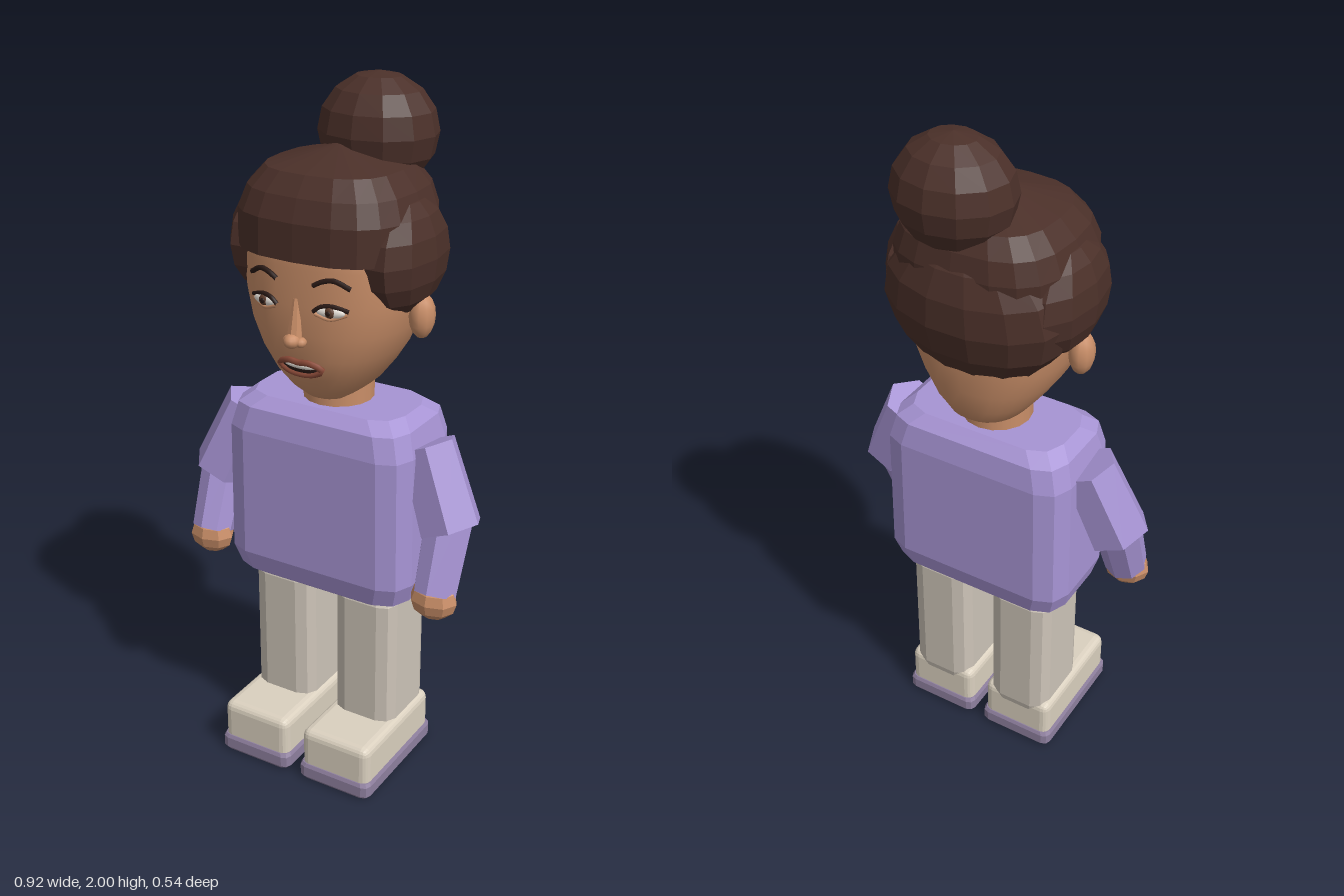
import * as THREE from 'three';
import { RoundedBoxGeometry } from 'three/addons/geometries/RoundedBoxGeometry.js';

const COLORS = {
  skin: 0xc98e68, hair: 0x4b3029, shirt: 0xa794d4, trousers: 0xcdc4b8, shoe: 0xdad0bf,
  sole: 0x8f809f, lip: 0x8a4a38, white: 0xe8e2da, dark: 0x2a1a16, iris: 0x5a3a2a,
};

function mesh(parent, name, geometry, color, flat = true) {
  const m = new THREE.Mesh(geometry, new THREE.MeshStandardMaterial({ color: COLORS[color], flatShading: flat }));
  m.name = name;
  parent.add(m);
  return m;
}

// Cross-sections: superellipse and rectangle with rounded corners
const superEllipse = (n, power) => (hx, hz) => Array.from({ length: n }, (_, i) => {
  const a = (i / n) * Math.PI * 2, c = Math.cos(a), s = Math.sin(a);
  return [hx * Math.sign(c) * Math.abs(c) ** (2 / power), hz * Math.sign(s) * Math.abs(s) ** (2 / power)];
});
const roundedRect = (r, steps) => (hx, hz) => {
  const points = [];
  [[1, 1], [-1, 1], [-1, -1], [1, -1]].forEach(([sx, sz], q) => {
    for (let i = 0; i <= steps; i++) {
      const a = (q + i / steps) * Math.PI / 2;
      points.push([sx * (hx - r) + r * Math.cos(a), sz * (hz - r) + r * Math.sin(a)]);
    }
  });
  return points;
};

// Skins rings of [y, halfWidth, halfDepth, zOffset] from bottom to top
function loft(rings, section) {
  const pos = [], index = [];
  let n = 0;
  for (const [y, hx, hz, zc = 0] of rings) {
    const pts = section(hx, hz);
    n = pts.length;
    for (const [x, z] of pts) pos.push(x, y, z + zc);
  }
  const last = rings.length - 1, bottom = n * rings.length, top = bottom + 1;
  pos.push(0, rings[0][0], rings[0][3] || 0, 0, rings[last][0], rings[last][3] || 0);
  for (let i = 0; i < n; i++) {
    const k = (i + 1) % n;
    for (let j = 0; j < last; j++) {
      const a = j * n + i, b = j * n + k;
      index.push(a, a + n, b, b, a + n, b + n);
    }
    index.push(bottom, i, k, top, last * n + k, last * n + i);
  }
  const g = new THREE.BufferGeometry();
  g.setAttribute('position', new THREE.Float32BufferAttribute(pos, 3));
  g.setIndex(index);
  g.computeVertexNormals();
  return g;
}

function ellipsoid(parent, name, color, center, radii, segments = [12, 8], flat = true) {
  const m = mesh(parent, name, new THREE.SphereGeometry(1, ...segments), color, flat);
  m.position.set(...center);
  m.scale.set(...radii);
  return m;
}

// Tapered prism between two points
function limb(parent, name, color, from, to, r0, r1, sides) {
  const a = new THREE.Vector3(...from), b = new THREE.Vector3(...to), dir = b.clone().sub(a);
  const m = mesh(parent, name, new THREE.CylinderGeometry(r1, r0, dir.length(), sides), color);
  m.position.copy(a).add(b).multiplyScalar(0.5);
  m.quaternion.setFromUnitVectors(new THREE.Vector3(0, 1, 0), dir.normalize());
  return m;
}

const HEAD = [
  [1.135, 0.03, 0.05, 0.01], [1.155, 0.07, 0.1, 0.01], [1.19, 0.11, 0.15, 0], [1.24, 0.15, 0.18, 0.005],
  [1.3, 0.19, 0.195, 0.008], [1.37, 0.22, 0.206, 0.01], [1.45, 0.238, 0.208, 0.01],
  [1.55, 0.245, 0.207, 0.01], [1.65, 0.235, 0.2, 0.01], [1.72, 0.18, 0.16, 0],
];

// Depth of the face surface at a point seen from the front
function faceZ(x, y) {
  const j = Math.max(1, HEAD.findIndex(r => r[0] >= y));
  const lo = HEAD[j - 1], hi = HEAD[j], t = (y - lo[0]) / (hi[0] - lo[0]);
  const [, hx, hz, zc] = lo.map((v, i) => v + (hi[i] - v) * t);
  return zc + hz * (1 - Math.min(1, Math.abs(x) / hx) ** 2.4) ** (1 / 2.4);
}

// Tube that follows the face through [x, y] points
function faceLine(parent, name, color, points, radius, closed = false) {
  const curve = new THREE.CatmullRomCurve3(points.map(([x, y]) => new THREE.Vector3(x, y, faceZ(x, y) + 0.004)), closed);
  return mesh(parent, name, new THREE.TubeGeometry(curve, 20, radius, 6, closed), color, false);
}

function createHead() {
  const g = new THREE.Group();
  g.name = 'head';
  mesh(g, 'face', loft(HEAD, superEllipse(32, 2.4)), 'skin', false);
  mesh(g, 'neck', new THREE.CylinderGeometry(0.1, 0.1, 0.14, 16), 'skin', false).position.y = 1.16;

  // Nose
  limb(g, 'noseBridge', 'skin', [0, 1.36, 0.222], [0, 1.47, 0.21], 0.022, 0.01, 8);
  ellipsoid(g, 'noseTip', 'skin', [0, 1.36, 0.235], [0.022, 0.02, 0.026], [12, 8], false);

  for (const s of [1, -1]) {
    ellipsoid(g, 'ear', 'skin', [s * 0.255, 1.405, 0], [0.034, 0.062, 0.042], [10, 8], false);
    ellipsoid(g, 'nostril', 'skin', [s * 0.02, 1.355, 0.222], [0.014, 0.014, 0.018], [10, 6], false);
    // Eye with lids and brow
    const z = faceZ(0.1, 1.447);
    const eye = ellipsoid(g, 'eyeWhite', 'white', [s * 0.1, 1.447, z], [0.04, 0.015, 0.011], [16, 8], false);
    eye.rotation.y = s * 0.2;
    ellipsoid(g, 'iris', 'iris', [s * 0.1, 1.448, z + 0.006], [0.015, 0.015, 0.009], [12, 8], false);
    ellipsoid(g, 'pupil', 'dark', [s * 0.1, 1.448, z + 0.011], [0.008, 0.008, 0.006], [10, 6], false);
    faceLine(g, 'upperLid', 'dark', [[0.055, 1.446], [0.075, 1.461], [0.105, 1.465], [0.146, 1.452]].map(([x, y]) => [s * x, y]), 0.006);
    faceLine(g, 'lowerLid', 'skin', [[0.06, 1.44], [0.1, 1.429], [0.142, 1.443]].map(([x, y]) => [s * x, y]), 0.005);
    faceLine(g, 'brow', 'dark', [[0.055, 1.515], [0.08, 1.528], [0.11, 1.533], [0.15, 1.512]].map(([x, y]) => [s * x, y]), 0.007);
  }

  // Mouth
  ellipsoid(g, 'mouthOpening', 'dark', [0, 1.273, faceZ(0, 1.273) - 0.004], [0.058, 0.018, 0.009], [16, 8], false);
  ellipsoid(g, 'teeth', 'white', [0, 1.28, faceZ(0, 1.28)], [0.05, 0.01, 0.009], [16, 8], false);
  faceLine(g, 'lips', 'lip', [[-0.066, 1.275], [-0.03, 1.293], [0, 1.29], [0.03, 1.293], [0.066, 1.275], [0.035, 1.257], [0, 1.253], [-0.035, 1.257]], 0.009, true);
  return g;
}

function createHair() {
  const g = new THREE.Group();
  g.name = 'hair';
  mesh(g, 'hairCap', loft([
    [1.57, 0.25, 0.225, 0.005], [1.67, 0.25, 0.228, 0], [1.73, 0.228, 0.21, -0.005],
    [1.78, 0.185, 0.175, -0.01], [1.83, 0.004, 0.004, -0.005],
  ], superEllipse(20, 2.8)), 'hair');
  for (const s of [1, -1]) {
    ellipsoid(g, 'sideHair', 'hair', [s * 0.205, 1.565, 0], [0.09, 0.155, 0.178], [10, 8]);
  }
  const back = ellipsoid(g, 'backHair', 'hair', [0, 1.535, -0.105], [0.265, 0.222, 0.152], [14, 8]);
  back.rotation.x = -0.12;
  ellipsoid(g, 'bun', 'hair', [0.045, 1.845, -0.127], [0.168, 0.155, 0.144], [12, 8]);
  return g;
}

function createArm(s) {
  const g = new THREE.Group();
  g.name = s > 0 ? 'leftArm' : 'rightArm';
  limb(g, 'upperSleeve', 'shirt', [s * 0.285, 1.045, 0.005], [s * 0.378, 0.825, 0.035], 0.082, 0.092, 6);
  limb(g, 'lowerSleeve', 'shirt', [s * 0.37, 0.87, 0.025], [s * 0.372, 0.655, 0.108], 0.07, 0.062, 8);
  ellipsoid(g, 'hand', 'skin', [s * 0.372, 0.64, 0.114], [0.07, 0.058, 0.054], [8, 6]);
  return g;
}

function createLeg(s) {
  const g = new THREE.Group();
  g.name = s > 0 ? 'leftLeg' : 'rightLeg';
  g.position.x = s * 0.137;
  mesh(g, 'trouserLeg', loft([
    [0.12, 0.09, 0.11, -0.007], [0.15, 0.097, 0.117, -0.007], [0.55, 0.097, 0.117, -0.007], [0.58, 0.085, 0.105, -0.007],
  ], roundedRect(0.045, 2)), 'trousers');
  const shoe = mesh(g, 'shoe', new RoundedBoxGeometry(0.222, 0.14, 0.378, 2, 0.025), 'shoe');
  shoe.position.set(0, 0.095, 0.07);
  const sole = mesh(g, 'sole', loft([
    [0, 0.111, 0.19], [0.01, 0.118, 0.197], [0.042, 0.118, 0.197], [0.052, 0.113, 0.192],
  ], roundedRect(0.022, 2)), 'sole');
  sole.position.z = 0.07;
  return g;
}

export function createModel() {
  const model = new THREE.Group();
  model.name = 'figure';
  model.add(createHead(), createHair());
  // Sweater body with bevelled edges
  mesh(model, 'sweater', loft([
    [0.565, 0.245, 0.125], [0.585, 0.275, 0.152], [0.645, 0.292, 0.168],
    [1.03, 0.288, 0.168], [1.1, 0.27, 0.155], [1.13, 0.235, 0.12],
  ], roundedRect(0.075, 2)), 'shirt');
  for (const s of [1, -1]) model.add(createArm(s), createLeg(s));
  return model;
}
